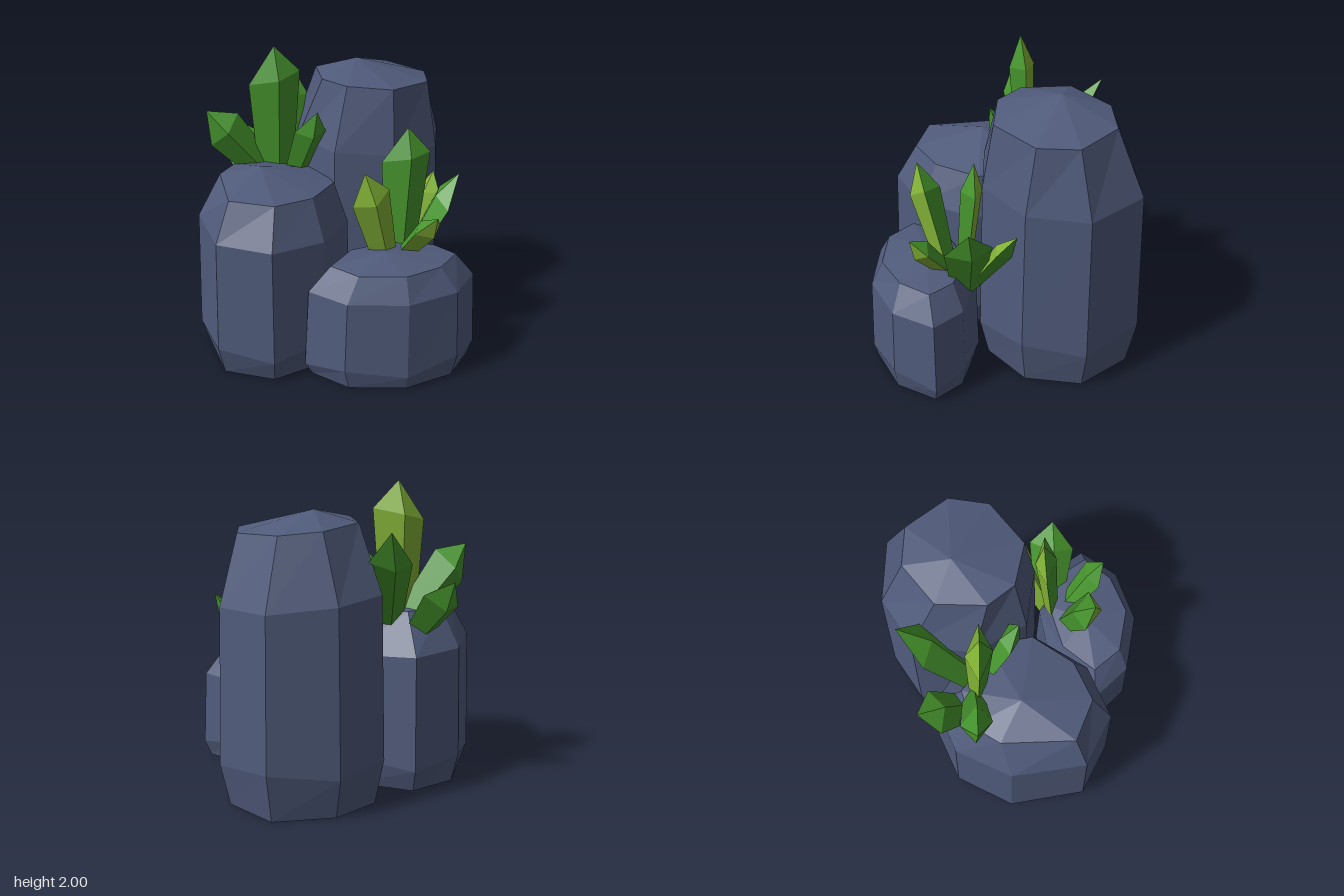
import * as THREE from 'three';

const V = (a) => new THREE.Vector3(...a);

function mat(name, color) {
  const m = new THREE.MeshStandardMaterial({ color, flatShading: true });
  m.name = name;
  return m;
}

function facets(points) {
  const g = new THREE.BufferGeometry().setFromPoints(points);
  g.computeVertexNormals();
  return g;
}

// Faceted boulder: a wide outline [x, z] scaled into lower rings, a narrower top outline and an apex.
function boulder({ outer, top, apex, bottomScale, low, high, highScale, topY, tilt }) {
  const n = outer.length;
  const cx = outer.reduce((s, p) => s + p[0], 0) / n;
  const cz = outer.reduce((s, p) => s + p[1], 0) / n;
  const ring = (pts, y, s, slope) =>
    pts.map(([x, z]) => V([cx + (x - cx) * s, y + slope * (x - cx), cz + (z - cz) * s]));
  const rings = [
    ring(outer, 0, bottomScale, 0),
    ring(outer, low, 1, 0.02).map((p, i) => p.setY(p.y + (i % 2 ? 0.03 : -0.02))),
    ring(outer, high, highScale, tilt),
    ring(top, topY, 1, tilt),
  ];
  const tip = V(apex), base = V([cx, 0, cz]), pts = [];
  for (let i = 0; i < n; i++) {
    const j = (i + 1) % n;
    pts.push(rings[0][j], rings[0][i], base);
    for (let r = 0; r < 3; r++) {
      const a = rings[r], b = rings[r + 1];
      pts.push(a[i], a[j], b[j], a[i], b[j], b[i]);
    }
    pts.push(rings[3][i], rings[3][j], tip);
  }
  return facets(pts);
}

// Flattened pointed crystal: a diamond section widening to a shoulder, then a tip.
// Group 0 is the front pair of facets, group 1 the back pair.
function crystal({ base, tip, across, w, t, shoulder = 0.72 }) {
  const b = V(base), end = V(tip);
  const d = end.clone().sub(b).normalize();
  const u = V(across).addScaledVector(d, -V(across).dot(d)).normalize();
  const f = u.clone().cross(d);
  const ring = (k, s) => [[1, 0], [0.1, 1], [-1, 0], [-0.1, -1]].map(([p, q], i) =>
    b.clone().lerp(end, k + (i === 0 ? 0.04 : i === 2 ? -0.04 : 0))
      .addScaledVector(u, p * w * s).addScaledVector(f, q * t * s));
  const lo = ring(0, 0.65), hi = ring(shoulder, 1), pts = [];
  // corners run from +u to front, so each facet is ordered next-to-current
  for (let i = 0; i < 4; i++) {
    const j = (i + 1) % 4;
    pts.push(lo[j], lo[i], hi[i], lo[j], hi[i], hi[j], hi[j], hi[i], end);
  }
  const g = facets(pts);
  g.addGroup(0, 18, 0);
  g.addGroup(18, 18, 1);
  return g;
}

export function createModel() {
  const model = new THREE.Group();
  model.name = 'crystalRocks';
  const stone = mat('slateStone', 0x505b7b);
  const green = mat('crystalGreen', 0x46952d);
  const lime = mat('crystalLime', 0x82b236);

  // Boulders, outlines running left, front, right, back
  const boulders = {
    tallBoulder: {
      outer: [[-0.19, -0.26], [0, 0.09], [0.4, 0.16], [0.76, -0.06], [0.885, -0.46], [0.66, -0.85], [0.21, -0.88], [-0.12, -0.68]],
      top: [[-0.02, -0.17], [0.11, 0], [0.4, 0.07], [0.69, -0.14], [0.74, -0.4], [0.54, -0.67], [0.27, -0.69], [0, -0.49]],
      apex: [0.26, 1.85, -0.38], bottomScale: 0.89, low: 0.28, high: 1.32, highScale: 0.96, topY: 1.75, tilt: -0.07,
    },
    leftBoulder: {
      outer: [[-0.89, -0.06], [-0.83, 0.45], [-0.495, 0.635], [-0.13, 0.49], [0.1, 0.15], [0.05, -0.3], [-0.36, -0.57], [-0.7, -0.43]],
      top: [[-0.72, -0.12], [-0.72, 0.36], [-0.45, 0.48], [-0.19, 0.37], [0, 0.11], [-0.05, -0.18], [-0.36, -0.36], [-0.6, -0.3]],
      apex: [-0.47, 1.27, 0.02], bottomScale: 0.9, low: 0.17, high: 0.91, highScale: 0.97, topY: 1.17, tilt: -0.04,
    },
    frontBoulder: {
      outer: [[-0.28, 0.55], [-0.07, 0.79], [0.32, 0.875], [0.68, 0.76], [0.87, 0.51], [0.73, 0.3], [0.4, 0.17], [0.04, 0.23]],
      top: [[-0.11, 0.54], [0.03, 0.72], [0.32, 0.785], [0.57, 0.69], [0.72, 0.52], [0.62, 0.36], [0.37, 0.25], [0.07, 0.33]],
      apex: [0.25, 0.81, 0.5], bottomScale: 0.92, low: 0.11, high: 0.6, highScale: 0.96, topY: 0.76, tilt: 0,
    },
  };
  for (const [name, spec] of Object.entries(boulders)) {
    const mesh = new THREE.Mesh(boulder(spec), stone);
    mesh.name = name;
    model.add(mesh);
  }

  // Crystal clusters: one sprouting from the left boulder, one from the front boulder
  const X = [1, 0, 0];
  const clusters = {
    upperCrystals: [
      { base: [-0.32, 1.02, -0.26], tip: [-0.33, 2, -0.22], across: X, w: 0.17, t: 0.085, shoulder: 0.78, back: lime },
      { base: [-0.36, 1.08, -0.29], tip: [-0.78, 1.58, -0.25], across: X, w: 0.14, t: 0.1 },
      { base: [-0.42, 1, -0.33], tip: [-0.58, 1.4, -0.63], across: X, w: 0.14, t: 0.09, shoulder: 0.66 },
      { base: [-0.25, 1.08, -0.28], tip: [-0.14, 1.74, -0.73], across: X, w: 0.14, t: 0.08, shoulder: 0.68 },
      { base: [-0.22, 1.08, -0.2], tip: [-0.09, 1.61, 0.02], across: X, w: 0.1, t: 0.07 },
    ],
    lowerCrystals: [
      { base: [0.29, 0.7, 0.37], tip: [0.11, 1.36, 0.52], across: X, w: 0.125, t: 0.1, front: lime },
      { base: [0.41, 0.65, 0.27], tip: [0.47, 1.53, 0.2], across: X, w: 0.16, t: 0.07, shoulder: 0.78, back: lime },
      { base: [0.46, 0.6, 0.25], tip: [0.8, 1.22, 0.28], across: [0, 0, -1], w: 0.15, t: 0.07 },
      { base: [0.46, 0.62, 0.22], tip: [0.72, 1.13, -0.03], across: [1, 0, 1], w: 0.1, t: 0.06, front: lime },
      { base: [0.4, 0.7, 0.36], tip: [0.56, 1.06, 0.62], across: [1, 0, -0.5], w: 0.1, t: 0.07, front: lime },
    ],
  };
  for (const [name, list] of Object.entries(clusters)) {
    const cluster = new THREE.Group();
    cluster.name = name;
    list.forEach((spec, i) => {
      const mesh = new THREE.Mesh(crystal(spec), [spec.front ?? green, spec.back ?? green]);
      mesh.name = `crystal${i + 1}`;
      cluster.add(mesh);
    });
    model.add(cluster);
  }
  return model;
}
